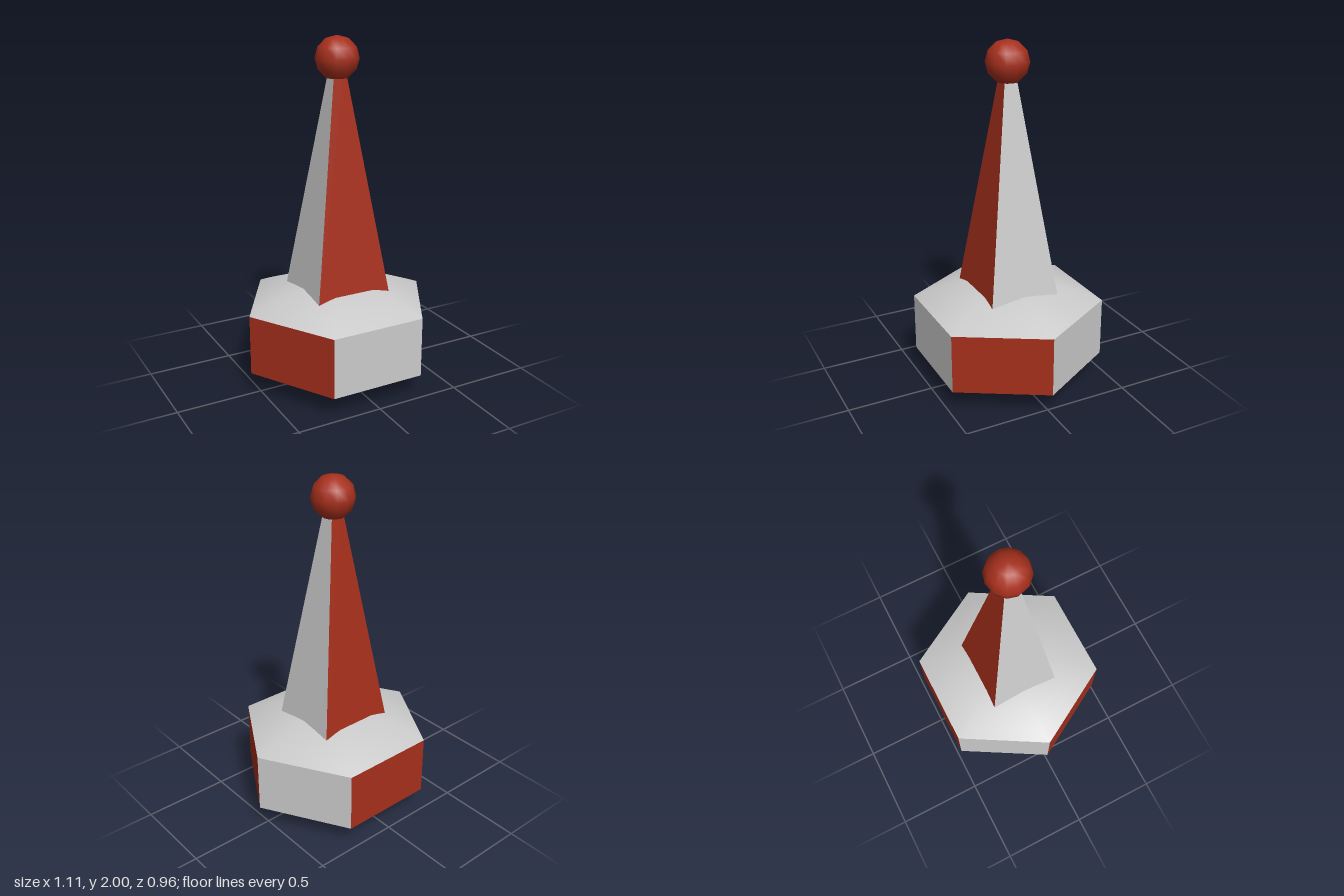
import * as THREE from 'three';

const RED = 0xa62f1c, GREY = 0xcccccc;
const R = 0.556, LOW = 0.13, HIGH = 0.48; // hexagonal body

function material(color, flatShading = false) {
  return new THREE.MeshStandardMaterial({ color, flatShading, side: THREE.DoubleSide });
}

function add(parent, name, geometry, mat, y = 0) {
  const mesh = new THREE.Mesh(geometry, mat);
  mesh.name = name;
  mesh.position.y = y;
  parent.add(mesh);
  return mesh;
}

// Flat side panels of a prism or frustum, alternating between two colours
function panels(parent, name, sides, rTop, rBottom, y0, y1, start, colors) {
  const step = (Math.PI * 2) / sides;
  for (let k = 0; k < sides; k++) {
    const g = new THREE.CylinderGeometry(rTop, rBottom, y1 - y0, 1, 1, true, start + k * step, step);
    add(parent, name, g, material(colors[k % 2], true), (y0 + y1) / 2);
  }
}

// Smooth six-sided dome with a parabolic profile, from the rim to the centre
function dome(rimY, centreY) {
  const points = [];
  for (let i = 0; i <= 8; i++) {
    const t = 1 - i / 8;
    points.push(new THREE.Vector2(R * t, centreY + (rimY - centreY) * t * t));
  }
  if (centreY < rimY) points.reverse();
  return new THREE.LatheGeometry(points, 6, Math.PI / 2);
}

export function createModel() {
  const model = new THREE.Group();

  // Body: hexagonal band closed by shallow domes
  const body = new THREE.Group();
  body.name = 'body';
  panels(body, 'bodySide', 6, R, R, LOW, HIGH, Math.PI / 2, [GREY, RED]);
  add(body, 'topDome', dome(HIGH, 0.605), material(GREY));
  add(body, 'bottomDome', dome(LOW, 0.003), material(GREY));
  model.add(body);

  // Spire: four-sided taper rising out of the top dome
  const spire = new THREE.Group();
  spire.name = 'spire';
  panels(spire, 'spireSide', 4, 0.03 * Math.SQRT2, 0.234 * Math.SQRT2, 0.5, 1.85, -Math.PI / 4, [RED, GREY]);
  spire.scale.z = 0.92;
  model.add(spire);

  // Ball on the tip, open underneath where the spire enters
  const ball = new THREE.SphereGeometry(0.122, 12, 5, 0, Math.PI * 2, 0, Math.PI * 5 / 6);
  add(model, 'tipBall', ball, material(RED), 1.878);

  return model;
}
